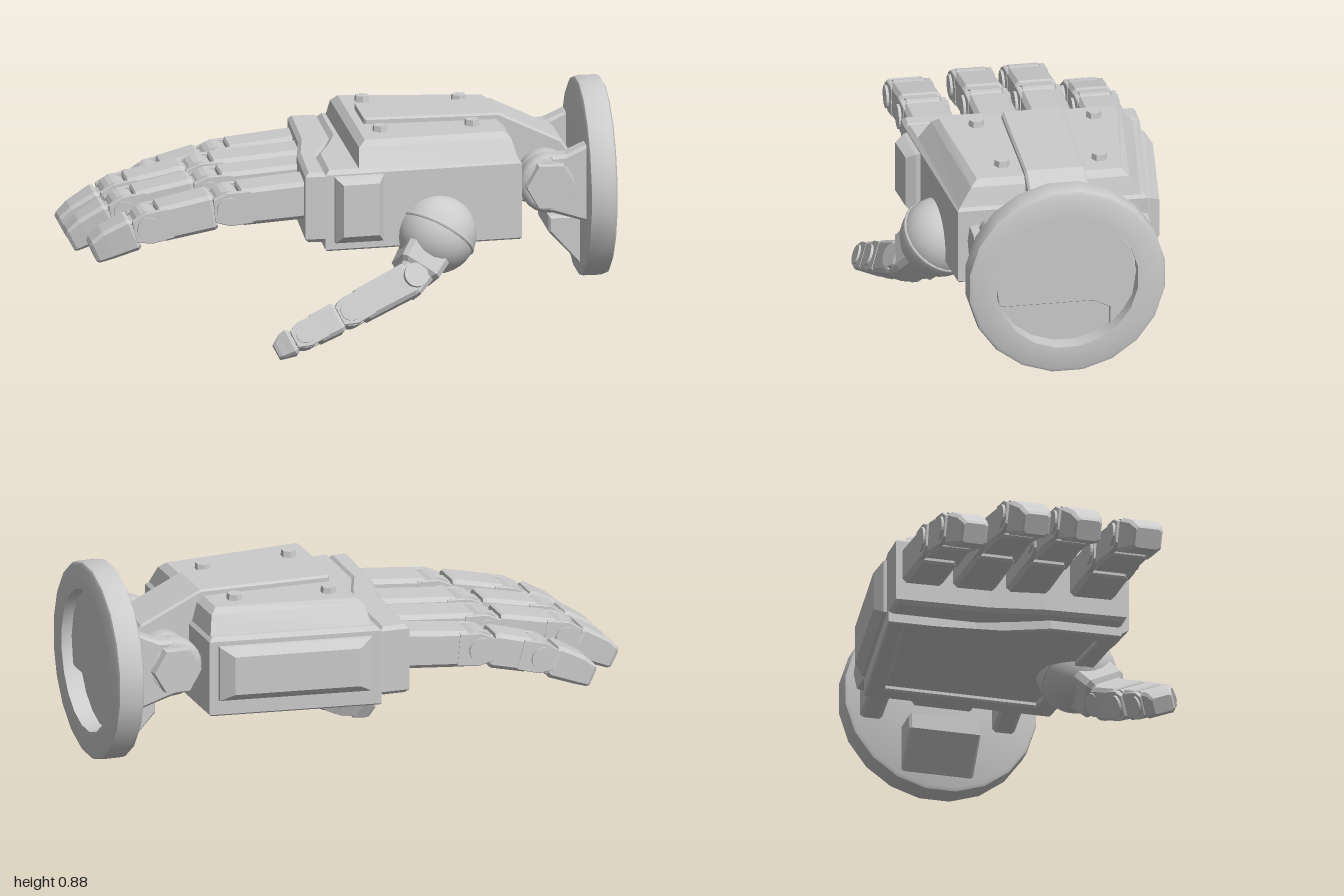
import * as THREE from 'three';
import { toCreasedNormals } from 'three/addons/utils/BufferGeometryUtils.js';

const flat = new THREE.MeshStandardMaterial({ color: 0xcccccc, flatShading: true });
const smooth = new THREE.MeshStandardMaterial({ color: 0xcccccc });
const V = (x, y, z) => new THREE.Vector3(x, y, z);

function add(parent, name, geo, mat = flat) {
  const m = new THREE.Mesh(geo, mat);
  m.name = name;
  parent.add(m);
  return m;
}

// Skin between rings of [x,y,z] points, capped at both ends and turned to face outward
function loft(rings) {
  const tris = [], n = rings[0].length, last = rings.length - 1;
  for (let r = 0; r < last; r++) {
    for (let i = 0; i < n; i++) {
      const j = (i + 1) % n, a = rings[r], b = rings[r + 1];
      tris.push([a[i], a[j], b[j]], [a[i], b[j], b[i]]);
    }
  }
  for (let i = 1; i < n - 1; i++) {
    tris.push([rings[0][0], rings[0][i + 1], rings[0][i]]);
    tris.push([rings[last][0], rings[last][i], rings[last][i + 1]]);
  }
  let volume = 0;
  for (const [a, b, c] of tris) volume += V(...a).dot(V(...b).cross(V(...c)));
  if (volume < 0) tris.forEach((t) => t.reverse());
  const g = new THREE.BufferGeometry();
  g.setAttribute('position', new THREE.Float32BufferAttribute(tris.flat(2), 3));
  g.computeVertexNormals();
  return g;
}

// Bevelled extrusion of an outline along z
function slab(points, z0, z1, bevel = 0.012, hole = null) {
  const s = new THREE.Shape(points.map((p) => new THREE.Vector2(...p)));
  if (hole) s.holes.push(new THREE.Path(hole.map((p) => new THREE.Vector2(...p))));
  const g = new THREE.ExtrudeGeometry(s, {
    depth: z1 - z0 - 2 * bevel, bevelEnabled: true, bevelSize: bevel,
    bevelThickness: bevel, bevelOffset: -bevel, bevelSegments: 1,
  });
  return g.translate(0, 0, z0 + bevel);
}

// Same, from a plan outline of [x,z], rising from y0 to y1
const flip = (pts) => pts && pts.map(([x, z]) => [x, -z]);
const plan = (pts, y0, y1, bevel, hole) =>
  slab(flip(pts), y0, y1, bevel, flip(hole)).rotateX(-Math.PI / 2);

// Cylinder lying along z
const pin = (r, len, sides = 20) =>
  toCreasedNormals(new THREE.CylinderGeometry(r, r, len, sides).rotateX(Math.PI / 2), 0.6);

// Drum along z with rounded rims
function drum(r, len) {
  const c = 0.025, h = len / 2;
  const p = [[0, -h], [r - c, -h], [r - c * 0.3, c * 0.7 - h], [r, c - h],
    [r, h - c], [r - c * 0.3, h - c * 0.7], [r - c, h], [0, h]];
  return new THREE.LatheGeometry(p.map((q) => new THREE.Vector2(...q)), 24).rotateX(Math.PI / 2);
}

// Chamfered bar along +x; each section is [x, halfHeight, halfWidth, yOffset]
function bar(sections) {
  return loft(sections.map(([x, h, w, o = 0]) => {
    const c = 0.22 * Math.min(h, w);
    return [[w, c - h], [w, h - c], [w - c, h], [c - w, h], [-w, h - c], [-w, c - h], [c - w, -h], [w - c, -h]]
      .map(([z, y]) => [x, y + o, z]);
  }));
}

// Group at a, with its x axis pointing to b
function limb(parent, name, a, b, side) {
  const g = new THREE.Group();
  const x = b.clone().sub(a).normalize();
  const y = side.clone().cross(x).normalize();
  if (y.y < 0) y.negate();
  g.quaternion.setFromRotationMatrix(new THREE.Matrix4().makeBasis(x, y, x.clone().cross(y)));
  g.position.copy(a);
  g.name = name;
  parent.add(g);
  return g;
}

// Chain of three bars with pivots between them: p = base, joint, joint, tip
function digit(parent, name, p, side, w, h, taper) {
  const whole = new THREE.Group();
  whole.name = name;
  parent.add(whole);
  ['proximal', 'middle', 'distal'].forEach((part, i) => {
    const g = limb(whole, part + 'Segment', p[i], p[i + 1], side);
    const L = p[i].distanceTo(p[i + 1]), k = 1 - taper * i, hh = h * k, ww = w * k;
    const start = i ? h * 0.72 : 0;
    if (i < 2) {
      add(g, 'segmentShell', bar([[start, hh * 0.92, ww * 0.9], [start + 0.012, hh, ww * 0.96],
        [L - h * 0.75, hh * 0.96, ww * 0.94], [L - h * 0.65, hh * 0.85, ww * 0.88]]));
      // Fork ears and pivot at the far end
      for (const s of [-1, 1]) {
        const ear = add(g, 'forkEar', bar([[L - h * 1.2, hh * 0.85, ww * 0.13], [L, hh * 0.88, ww * 0.13],
          [L + h * 0.75, hh * 0.6, ww * 0.13]]));
        ear.position.z = s * ww * 0.84;
      }
      add(g, 'pivotDrum', pin(hh * 0.9, ww * 1.4)).position.x = L;
      add(g, 'pivotCap', pin(hh * 0.64, ww * 2.18)).position.x = L;
    } else {
      add(g, 'fingertip', bar([[start, hh * 0.88, ww * 0.9], [start + 0.012, hh, ww * 0.95],
        [L * 0.72, hh * 0.88, ww * 0.8], [L - 0.012, hh * 0.7, ww * 0.7, -hh * 0.08],
        [L, hh * 0.58, ww * 0.6, -hh * 0.12]]));
    }
    if (i) add(g, 'hingeTongue', bar([[0, hh * 0.7, ww * 0.6], [start + 0.02, hh * 0.75, ww * 0.6]]));
  });
}

export function createModel() {
  const hand = new THREE.Group();
  hand.name = 'mechanicalHand';

  // Palm block with a framed underside, meeting the knuckle band along a wavy seam
  const seam = [[0.008, -0.5], [0.003, -0.17], [-0.032, -0.05], [-0.085, 0.09], [-0.09, 0.355]];
  const palm = [...seam, [0.645, 0.285], [0.645, -0.42]];
  add(hand, 'palmBody', plan(palm, 0.395, 0.68, 0.016));
  add(hand, 'palmUndersideFrame', plan(palm, 0.378, 0.42, 0.006,
    [[0.04, -0.43], [0.57, -0.36], [0.57, 0.21], [-0.03, 0.28]]));
  add(hand, 'knuckleBand', plan([...seam.map(([x, z]) => [x + 0.004, z]), [-0.165, 0.355],
    [-0.15, 0.05], [-0.115, -0.15], [-0.1, -0.5]], 0.412, 0.674, 0.014));

  // Sloped plate on the back of the hand
  const quad = (x0, x1, a0, a1, b0, b1, y) => [[x0, y, a0], [x1, y, b0], [x1, y, b1], [x0, y, a1]];
  add(hand, 'topPlate', loft([
    quad(0.035, 0.635, -0.475, 0.335, -0.4, 0.28, 0.67),
    quad(0.045, 0.615, -0.42, 0.28, -0.355, 0.23, 0.745),
    quad(0.07, 0.59, -0.4, 0.255, -0.33, 0.205, 0.767)]));
  for (const [x, z] of [[0.145, -0.305], [0.495, -0.265], [0.49, 0.095], [0.145, 0.13]]) {
    const bolt = add(hand, 'plateBolt', new THREE.CylinderGeometry(0.027, 0.031, 0.035, 6));
    bolt.position.set(x, 0.772, z);
  }

  // Raised panels on the two sides of the palm, following the slanted walls
  const panel = (x0, x1, y0, y1, z0, z1) => [[x0, y0, z0], [x1, y0, z1], [x1, y1, z1], [x0, y1, z0]];
  add(hand, 'outerSidePanel', loft([
    panel(0.04, 0.615, 0.435, 0.65, -0.48, -0.41),
    panel(0.05, 0.61, 0.44, 0.645, -0.507, -0.435),
    panel(0.1, 0.565, 0.47, 0.615, -0.532, -0.475)]));
  add(hand, 'thumbSidePad', loft([
    panel(-0.06, 0.13, 0.41, 0.665, 0.33, 0.31),
    panel(-0.055, 0.125, 0.41, 0.655, 0.365, 0.35),
    panel(-0.03, 0.105, 0.44, 0.635, 0.4, 0.385)]));

  // Wrist arm running from the top plate down to the hinge
  add(hand, 'wristArm', slab([[0.1, 0.74], [0.1, 0.79], [0.6, 0.79], [0.83, 0.68], [0.87, 0.62],
    [0.87, 0.5], [0.8, 0.44], [0.6, 0.46], [0.6, 0.74]], -0.195, 0.03, 0.008));

  // Hinge, mirrored about its middle
  const mid = -0.075;
  for (const s of [-1, 1]) {
    const at = (name, geo, d, mat) => add(hand, name, geo, mat).position.set(0.76, 0.56, mid + s * d);
    at('hingeDrum', drum(0.1, 0.1), 0.155, smooth);
    at('lugDrum', drum(0.11, 0.095), 0.25, smooth);
    at('hingeHexCap', new THREE.CylinderGeometry(0.09, 0.098, 0.06, 6).rotateY(Math.PI / 6)
      .rotateX(s * Math.PI / 2), 0.298);
    const lug = add(hand, 'wristLug', slab([[0.91, 0.71], [0.82, 0.67], [0.76, 0.665],
      [0.74, 0.46], [0.78, 0.45], [0.91, 0.41]], -0.042, 0.042, 0.012));
    lug.position.z = mid + s * 0.25;
  }
  add(hand, 'wristGusset', slab([[0.78, 0.4], [0.91, 0.4], [0.91, 0.2], [0.78, 0.34]], -0.21, 0.06, 0.008));

  // Round wrist flange, hollowed on its outer face
  const flange = new THREE.Group();
  flange.name = 'wristFlange';
  flange.position.set(0.895, 0.52, -0.06);
  hand.add(flange);
  const profile = [[0, 0], [0.352, 0], [0.364, 0.006], [0.368, 0.02], [0.368, 0.085], [0.364, 0.097],
    [0.352, 0.103], [0.265, 0.103], [0.265, 0.035], [0, 0.035]].map((p) => new THREE.Vector2(...p));
  const disc = new THREE.LatheGeometry(profile, 20).rotateZ(-Math.PI / 2).rotateX(Math.PI / 20);
  add(flange, 'flangeDisc', toCreasedNormals(disc, 0.7), smooth);
  const step = [[-0.235, -0.1], [0.1, -0.1], [0.165, -0.13], [0.165, -0.2], [0.21, -0.15]];
  for (let i = 0; i <= 10; i++) {
    const a = -0.35 + i * (Math.PI + 0.7) / 10;
    step.push([0.262 * Math.cos(a), 0.262 * Math.sin(a)]);
  }
  add(flange, 'flangeInnerStep', slab(step, 0.02, 0.065, 0.002).rotateY(Math.PI / 2));

  // Four fingers: z, half width, joint x, joint x, tip x, tip y
  const fingers = [
    ['littleFinger', -0.4, 0.08, -0.385, -0.625, -0.835, 0.378],
    ['ringFinger', -0.207, 0.084, -0.475, -0.785, -0.986, 0.37],
    ['middleFinger', -0.012, 0.082, -0.475, -0.785, -0.986, 0.37],
    ['indexFinger', 0.227, 0.088, -0.44, -0.735, -0.937, 0.388],
  ];
  for (const [name, z, w, j1, j2, tip, ty] of fingers) {
    digit(hand, name, [V(-0.08, 0.567, z), V(j1, 0.538, z), V(j2, 0.477, z), V(tip, ty, z)],
      V(0, 0, 1), w, 0.071, 0.06);
  }

  // Thumb on a ball joint with a raised band
  const ball = add(hand, 'thumbBall', new THREE.SphereGeometry(0.147, 28, 18), smooth);
  ball.position.set(0.328, 0.415, 0.297);
  const band = add(hand, 'thumbBallBand', new THREE.TorusGeometry(0.142, 0.01, 8, 32), smooth);
  band.position.copy(ball.position);
  band.quaternion.setFromUnitVectors(V(0, 0, 1), V(-0.5, -0.75, 0.42).normalize());
  const side = V(0.16, 0.45, 0.87).normalize();
  const root = V(0.215, 0.27, 0.395);
  const neck = limb(hand, 'thumbNeck', ball.position, root, side);
  add(neck, 'thumbNeckBlock', bar([[0.08, 0.085, 0.09], [0.165, 0.08, 0.085], [0.18, 0.065, 0.07], [0.25, 0.055, 0.06]]));
  add(neck, 'thumbRootPivot', pin(0.045, 0.165)).position.x = root.distanceTo(ball.position);
  digit(hand, 'thumb', [root, V(-0.015, 0.165, 0.43), V(-0.185, 0.09, 0.452), V(-0.29, 0.038, 0.457)],
    side, 0.076, 0.063, 0.1);

  return hand;
}
